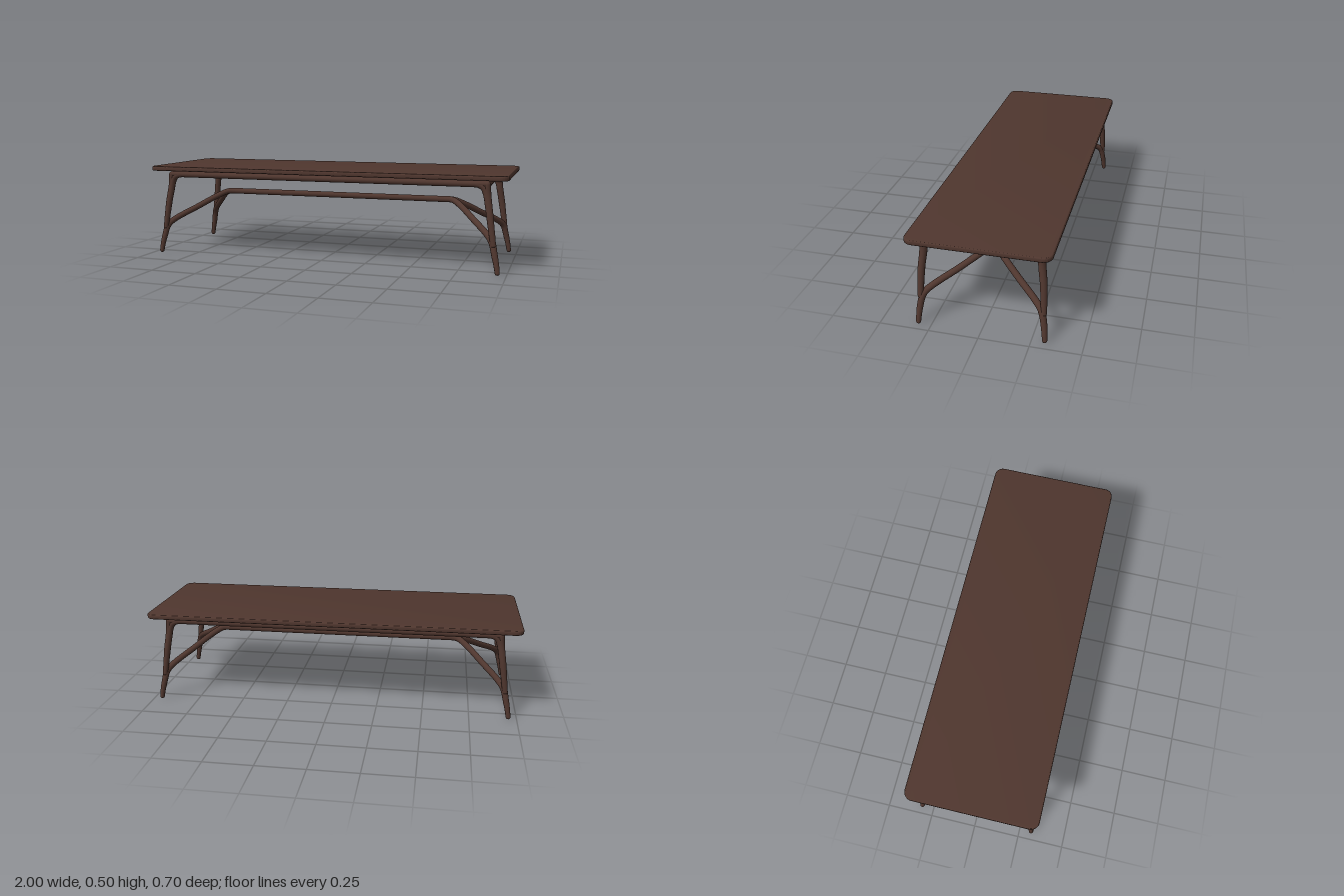
import * as THREE from 'three';
import { toCreasedNormals } from 'three/addons/utils/BufferGeometryUtils.js';

const wood = new THREE.MeshStandardMaterial({ color: 0x4f362e });
wood.name = 'dark walnut';

// Round limb swept through points [x, y, z, radius], with ball ends
function limb(name, rows, steps = 32) {
  const group = new THREE.Group();
  group.name = name;
  const points = rows.map(([x, y, z]) => new THREE.Vector3(x, y, z));
  const curve = new THREE.CatmullRomCurve3(points, false, 'centripetal');
  const sides = 16;
  const geometry = new THREE.TubeGeometry(curve, steps, 1, sides);
  const pos = geometry.attributes.position;
  const v = new THREE.Vector3();
  for (let i = 0; i <= steps; i++) {
    const t = curve.getUtoTmapping(i / steps) * (rows.length - 1);
    const k = Math.min(Math.floor(t), rows.length - 2);
    const radius = THREE.MathUtils.lerp(rows[k][3], rows[k + 1][3], THREE.MathUtils.smoothstep(t - k, 0, 1));
    const center = curve.getPointAt(i / steps);
    for (let j = 0; j <= sides; j++) {
      const n = i * (sides + 1) + j;
      v.fromBufferAttribute(pos, n).sub(center).multiplyScalar(radius).add(center);
      pos.setXYZ(n, v.x, v.y, v.z);
    }
  }
  const tube = new THREE.Mesh(geometry, wood);
  tube.name = name + 'Shaft';
  group.add(tube);
  for (const [x, y, z, r] of [rows[0], rows[rows.length - 1]]) {
    const ball = new THREE.Mesh(new THREE.SphereGeometry(r, 16, 12), wood);
    ball.name = name + 'End';
    ball.position.set(x, y, z);
    group.add(ball);
  }
  return group;
}

// Slab with rounded corners and softened edges
function tableTop() {
  const bevel = 0.006, w = 1 - bevel, d = 0.35 - bevel, r = 0.04;
  const shape = new THREE.Shape();
  shape.absarc(w - r, d - r, r, 0, Math.PI / 2);
  shape.absarc(-w + r, d - r, r, Math.PI / 2, Math.PI);
  shape.absarc(-w + r, -d + r, r, Math.PI, Math.PI * 1.5);
  shape.absarc(w - r, -d + r, r, Math.PI * 1.5, Math.PI * 2);
  shape.closePath();
  const geometry = new THREE.ExtrudeGeometry(shape, {
    depth: 0.025 - 2 * bevel, bevelThickness: bevel, bevelSize: bevel, bevelSegments: 3, curveSegments: 10,
  });
  geometry.rotateX(-Math.PI / 2).translate(0, 0.475 + bevel, 0);
  const mesh = new THREE.Mesh(toCreasedNormals(geometry, 0.7), wood);
  mesh.name = 'tableTop';
  return mesh;
}

export function createModel() {
  const table = new THREE.Group();
  table.name = 'table';
  table.add(tableTop());

  // Rails under the top
  const railY = 0.4535, railX = 0.89, railZ = 0.287, r = 0.0165;
  for (const s of [-1, 1]) {
    table.add(limb('longRail', [[-railX, railY, s * railZ, r], [railX, railY, s * railZ, r]], 2));
    table.add(limb('endRail', [[s * railX, railY, -railZ, r], [s * railX, railY, railZ, r]], 2));
  }

  // Central stretcher
  table.add(limb('stretcher', [[-0.66, 0.335, 0, 0.0165], [0.66, 0.335, 0, 0.0165]], 2));

  for (const sx of [-1, 1]) for (const sz of [-1, 1]) {
    const corner = (name, rows) =>
      table.add(limb(name, rows.map(([x, y, z, rad]) => [sx * x, y, sz * z, rad])));

    // Upper leg, swelling slightly below the rails
    corner('upperLeg', [
      [0.891, 0.453, 0.288, 0.0165], [0.893, 0.4, 0.286, 0.019], [0.908, 0.3, 0.297, 0.018],
      [0.921, 0.21, 0.302, 0.016], [0.93, 0.15, 0.304, 0.014],
    ]);
    // Brace from the stretcher that bends down to become the lower leg
    corner('braceAndLowerLeg', [
      [0.62, 0.335, 0, 0.016], [0.675, 0.333, 0.006, 0.0165], [0.725, 0.309, 0.05, 0.0165],
      [0.81, 0.251, 0.15, 0.0165], [0.895, 0.192, 0.256, 0.0165], [0.922, 0.162, 0.29, 0.0175],
      [0.938, 0.1, 0.306, 0.016], [0.949, 0.05, 0.312, 0.014], [0.955, 0.0125, 0.315, 0.0125],
    ]);
    // Curved fillets blending the leg into both rails
    corner('longRailBend', [
      [0.8, railY, railZ, 0.016], [0.845, 0.451, railZ, 0.0165], [0.872, 0.438, railZ, 0.0175],
      [0.886, 0.412, railZ, 0.018], [0.897, 0.36, 0.291, 0.016],
    ]);
    corner('endRailBend', [
      [railX, railY, 0.2, 0.016], [railX, 0.451, 0.243, 0.0165], [railX, 0.438, 0.269, 0.0175],
      [0.892, 0.412, 0.283, 0.018], [0.899, 0.36, 0.291, 0.016],
    ]);
  }
  return table;
}
